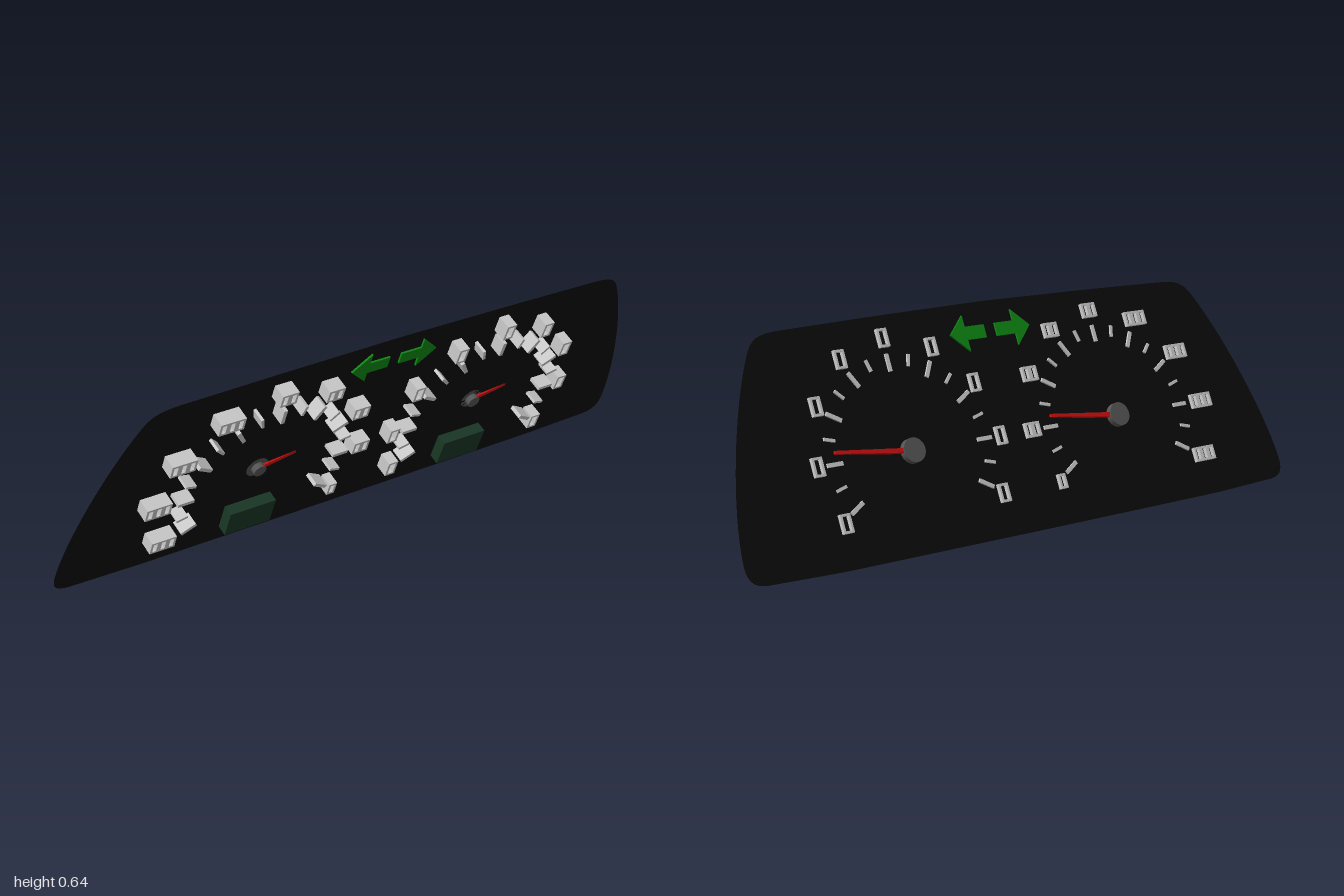
import * as THREE from 'three';

const mat = (color, side = THREE.FrontSide) =>
  new THREE.MeshStandardMaterial({ color, side });
const GREY = mat(0xcccccc);
const BLACK = mat(0x0b0b0b, THREE.DoubleSide);
const GREEN = mat(0x0f8a14);
const RED = mat(0xd01010);
const HUB = mat(0x555555);
const SCREEN = mat(0x1a3826);

const DIAL_Y = -0.055;
const STEP = Math.PI / 6;
const START = -Math.PI / 6;

function part(name, geometry, material, x = 0, y = 0, z = 0) {
  const mesh = new THREE.Mesh(geometry, material);
  mesh.name = name;
  mesh.position.set(x, y, z);
  return mesh;
}

// Extrudes a shape between two depths
function slab(shape, z0, z1) {
  const geo = new THREE.ExtrudeGeometry(shape, { depth: z1 - z0, bevelEnabled: false });
  return geo.translate(0, 0, z0);
}

function rectPath(path, x0, y0, x1, y1) {
  path.moveTo(x0, y0);
  path.lineTo(x1, y0);
  path.lineTo(x1, y1);
  path.lineTo(x0, y1);
  path.closePath();
  return path;
}

// Thin face plate with bowed sides and rounded corners
function makePanel() {
  const s = new THREE.Shape();
  s.moveTo(0, -0.349);
  s.lineTo(0.7, -0.348);
  s.lineTo(0.94, -0.341);
  s.bezierCurveTo(0.985, -0.338, 1.0, -0.32, 1.0, -0.28);
  s.bezierCurveTo(0.995, -0.13, 0.91, 0.14, 0.83, 0.28);
  s.bezierCurveTo(0.805, 0.325, 0.78, 0.334, 0.72, 0.337);
  s.lineTo(0.4, 0.344);
  s.lineTo(0, 0.349);
  s.lineTo(-0.4, 0.344);
  s.lineTo(-0.72, 0.337);
  s.bezierCurveTo(-0.78, 0.334, -0.805, 0.325, -0.83, 0.28);
  s.bezierCurveTo(-0.91, 0.14, -0.995, -0.13, -1.0, -0.28);
  s.bezierCurveTo(-1.0, -0.32, -0.985, -0.338, -0.94, -0.341);
  s.lineTo(-0.7, -0.348);
  s.closePath();
  return part('facePlate', new THREE.ShapeGeometry(s, 16), BLACK);
}

// Plain open frame marking a main division; cells set its width
function makeMarker(cells, cellWidth, height) {
  const t = 0.007, w = cells * cellWidth;
  const s = rectPath(new THREE.Shape(), -w / 2, -height / 2, w / 2, height / 2);
  for (let i = 0; i < cells; i++) {
    const x = -w / 2 + i * cellWidth;
    s.holes.push(rectPath(new THREE.Path(), x + t, -height / 2 + t, x + cellWidth - t, height / 2 - t));
  }
  return slab(s, -0.012, 0.045);
}

// Needle: narrow towards the tip, its front side sloping through the plate
function makeNeedle() {
  const geo = new THREE.BoxGeometry(0.26, 0.014, 0.024).translate(0.13, 0, 0);
  const p = geo.attributes.position;
  for (let i = 0; i < p.count; i++) {
    const t = p.getX(i) / 0.26;
    p.setY(i, p.getY(i) * (1 - 0.35 * t));
    p.setZ(i, p.getZ(i) > 0 ? 0.008 - 0.016 * t : -0.016);
  }
  geo.computeVertexNormals();
  return geo;
}

function makeDial(x, cellCounts, cellWidth, markerHeight) {
  const dial = new THREE.Group();
  dial.position.set(x, DIAL_Y, 0);

  // Alternating long and short ticks
  for (let i = 0; i < 17; i++) {
    const a = START + (i * STEP) / 2;
    const major = i % 2 === 0;
    const length = major ? 0.052 : 0.036;
    const r = 0.286 - length / 2;
    const tick = part(major ? 'majorTick' : 'minorTick',
      new THREE.BoxGeometry(length, major ? 0.012 : 0.009, 0.051),
      GREY, Math.cos(a) * r, Math.sin(a) * r, 0.0195);
    tick.rotation.z = a;
    dial.add(tick);
  }

  // Division markers stay upright around the scale
  cellCounts.forEach((cells, i) => {
    const a = START + i * STEP;
    const rx = 0.318 + (cells - 1) * 0.015;
    dial.add(part('scaleMarker', makeMarker(cells, cellWidth, markerHeight),
      GREY, Math.cos(a) * rx, Math.sin(a) * 0.332, 0));
  });

  // Needle with its cap behind and pin in front
  const needle = part('needle', makeNeedle(), RED);
  needle.rotation.z = 0.12;
  const cap = part('needleCap', new THREE.CylinderGeometry(0.036, 0.036, 0.02, 32), HUB, 0, 0, -0.01);
  const pin = part('needlePin', new THREE.CylinderGeometry(0.02, 0.02, 0.02, 24), HUB, 0, 0, 0.008);
  cap.rotation.x = pin.rotation.x = Math.PI / 2;
  dial.add(needle, cap, pin);

  // Small display below the needle
  dial.add(part('display', new THREE.BoxGeometry(0.155, 0.092, 0.035), SCREEN,
    0, -0.242 - DIAL_Y, 0.0185));
  return dial;
}

// Turn indicator arrow pointing along the given side
function makeArrow(side) {
  const s = new THREE.Shape();
  const pts = [[0.02, -0.02], [0.09, -0.02], [0.09, -0.055], [0.148, 0],
    [0.09, 0.055], [0.09, 0.02], [0.02, 0.02]];
  pts.forEach(([x, y], i) => (i ? s.lineTo(x * side, y) : s.moveTo(x * side, y)));
  s.closePath();
  return part(side > 0 ? 'leftArrow' : 'rightArrow', slab(s, -0.006, 0.006), GREEN, 0, 0.258, 0);
}

export function createModel() {
  const model = new THREE.Group();
  model.name = 'instrumentPanel';
  const tilted = new THREE.Group();
  tilted.name = 'tiltedPanel';

  const leftDial = makeDial(0.385, [1, 1, 1, 1, 1, 1, 1, 1, 1], 0.034, 0.055);
  leftDial.name = 'leftDial';
  const rightDial = makeDial(-0.385, [1, 2, 2, 2, 2, 3, 3, 3, 3], 0.027, 0.045);
  rightDial.name = 'rightDial';
  tilted.add(makePanel(), leftDial, rightDial, makeArrow(1), makeArrow(-1));

  // The plate leans forward at the top
  tilted.rotation.x = THREE.MathUtils.degToRad(24.5);
  tilted.position.y = 0.3176;
  model.add(tilted);
  return model;
}
